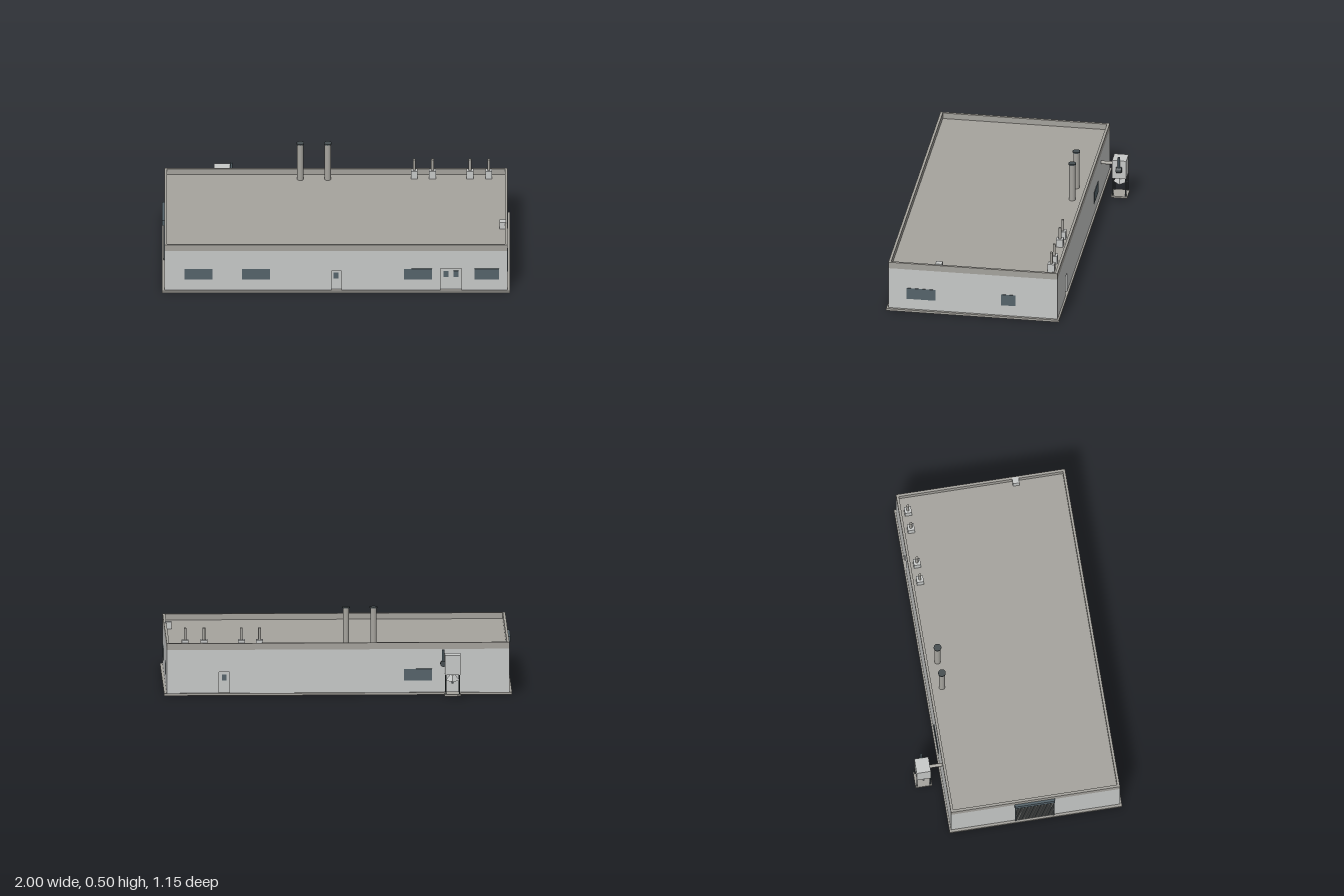
import * as THREE from 'three';

const mat = (name, color, side = THREE.FrontSide) => {
  const m = new THREE.MeshStandardMaterial({ color, side });
  m.name = name;
  return m;
};

export function createModel() {
  const root = new THREE.Group();
  root.name = 'factoryBuilding';
  const wallMat = mat('wallPaint', 0xc7c9c8);
  const roofMat = mat('roofGrey', 0xa5a39d);
  const glassMat = mat('darkGlass', 0x55636a);
  const darkMat = mat('darkMetal', 0x454d50);

  const add = (name, geo, m, x, y, z, parent = root) => {
    const mesh = new THREE.Mesh(geo, m);
    mesh.name = name;
    mesh.position.set(x, y, z);
    parent.add(mesh);
    return mesh;
  };
  // box given by its low and high corners
  const box = (name, m, x0, x1, y0, y1, z0, z1, parent) =>
    add(name, new THREE.BoxGeometry(x1 - x0, y1 - y0, z1 - z0), m,
      (x0 + x1) / 2, (y0 + y1) / 2, (z0 + z1) / 2, parent);
  const tube = (name, m, r, y0, y1, x, z, parent, n = 20) =>
    add(name, new THREE.CylinderGeometry(r, r, y1 - y0, n), m, x, (y0 + y1) / 2, z, parent);

  const X = 0.985, ZF = 0.567, ZB = -0.417, Y0 = 0.013, YW = 0.265, YT = 0.303;
  const T = 0.014; // wall thickness, also the depth of the door recesses

  // plinth and side walls
  box('plinth', roofMat, -1, 1, 0, Y0, ZB - 0.01, ZF + 0.01);
  for (const s of [-1, 1])
    box('sideWall', wallMat, s * X - (s > 0 ? T : 0), s * X + (s > 0 ? 0 : T), Y0, YW, ZB + T, ZF - T);

  // long walls with a notch for every door
  const longWall = (name, z, doors) => {
    const s = new THREE.Shape();
    s.moveTo(-X, Y0);
    for (const [a, b, h] of doors) {
      s.lineTo(a, Y0); s.lineTo(a, h); s.lineTo(b, h); s.lineTo(b, Y0);
    }
    s.lineTo(X, Y0); s.lineTo(X, YW); s.lineTo(-X, YW);
    add(name, new THREE.ExtrudeGeometry(s, { depth: T, bevelEnabled: false }), wallMat, 0, 0, z);
  };
  const frontDoors = [[-0.027, 0.03, 0.135], [0.6, 0.72, 0.15]];
  const backDoors = [[0.625, 0.685, 0.135]];
  longWall('frontWall', ZF - T, frontDoors);
  longWall('backWall', ZB, backDoors);

  // recessed door leaves and their small panes
  for (const [a, b, h] of frontDoors)
    box('frontDoor', wallMat, a - 0.005, b + 0.005, Y0, h + 0.005, ZF - T - 0.008, ZF - T);
  for (const [a, b, h] of backDoors)
    box('backDoor', wallMat, a - 0.005, b + 0.005, Y0, h + 0.005, ZB + T, ZB + T + 0.008);
  for (const [x, y0, y1] of [[0, 0.083, 0.12], [0.631, 0.09, 0.13], [0.689, 0.09, 0.13]])
    box('doorPane', glassMat, x - 0.014, x + 0.014, y0, y1, ZF - T, ZF - T + 0.003);
  box('doorPane', glassMat, 0.64, 0.668, 0.083, 0.12, ZB + T - 0.003, ZB + T);

  // windows
  for (const [a, b] of [[-0.87, -0.71], [-0.54, -0.38], [0.39, 0.55], [0.795, 0.935]])
    box('frontWindow', glassMat, a, b, 0.082, 0.15, ZF, ZF + 0.003);
  box('backWindow', glassMat, -0.54, -0.38, 0.082, 0.15, ZB - 0.003, ZB);
  for (const [a, b] of [[0.293, 0.46], [-0.174, -0.09]])
    box('sideWindow', glassMat, X, X + 0.003, 0.078, 0.146, a, b);

  // parapet ring and roof deck
  const ring = new THREE.Shape([[-X, -ZF], [X, -ZF], [X, -ZB], [-X, -ZB]].map(p => new THREE.Vector2(...p)));
  const p = 0.015;
  ring.holes.push(new THREE.Path([[-X + p, -ZF + p], [-X + p, -ZB - p], [X - p, -ZB - p], [X - p, -ZF + p]]
    .map(q => new THREE.Vector2(...q))));
  const ringGeo = new THREE.ExtrudeGeometry(ring, { depth: YT - YW, bevelEnabled: false });
  ringGeo.rotateX(-Math.PI / 2);
  add('parapet', ringGeo, roofMat, 0, YW, 0);
  box('roofDeck', roofMat, -X + T, X - T, YW - 0.01, YW + 0.003, ZB + T, ZF - T);

  // chimneys with dark caps
  for (const x of [-0.205, -0.047]) {
    tube('chimney', roofMat, 0.018, YW, 0.497, x, -0.343, root, 24);
    tube('chimneyCap', darkMat, 0.022, 0.494, 0.502, x, -0.343, root, 24);
  }

  // roof vents
  for (const x of [0.45, 0.555, 0.77, 0.878]) {
    box('ventBase', wallMat, x - 0.02, x + 0.02, YW, 0.315, -0.385, -0.345);
    tube('ventPipe', roofMat, 0.008, 0.315, 0.385, x, -0.365);
  }
  box('roofBox', wallMat, 0.94, 0.978, YW, 0.309, 0.257, 0.295);

  // roller shutter on the left end wall
  const shutter = new THREE.Group();
  shutter.name = 'rollerShutter';
  root.add(shutter);
  box('shutterPanel', roofMat, -X - 0.003, -X, Y0, 0.24, -0.04, 0.18, shutter);
  for (let i = 0; i < 14; i++) {
    const y = 0.022 + i * 0.0155;
    box('shutterSlat', darkMat, -X - 0.005, -X - 0.003, y, y + 0.004, -0.04, 0.18, shutter);
  }
  for (const z of [-0.045, 0.178])
    box('shutterRail', darkMat, -X - 0.007, -X, Y0, 0.24, z, z + 0.007, shutter);
  box('shutterHousing', glassMat, -1, -X, 0.238, 0.27, -0.047, 0.187, shutter);

  // dust collector behind the building
  const dust = new THREE.Group();
  dust.name = 'dustCollector';
  root.add(dust);
  const cx = -0.655, cz = -0.529;
  box('filterHousing', wallMat, cx - 0.045, cx + 0.045, 0.14, 0.254, cz - 0.041, cz + 0.041, dust);
  const hopper = new THREE.CylinderGeometry(0.01, 0.042, 0.04, 4).toNonIndexed();
  hopper.computeVertexNormals();
  add('hopper', hopper, wallMat, cx, 0.12, cz, dust);
  tube('hopperOutlet', darkMat, 0.006, 0.083, 0.1, cx, cz, dust);
  box('basePlate', roofMat, cx - 0.048, cx + 0.048, 0.017, 0.027, cz - 0.048, cz + 0.048, dust);
  for (const sx of [-1, 1]) for (const sz of [-1, 1])
    tube('supportLeg', darkMat, 0.0035, 0.027, 0.14, cx + sx * 0.039, cz + sz * 0.038, dust, 10);
  const duct = tube('inletDuct', roofMat, 0.01, 0, 0.08, cx, cz, dust);
  duct.rotation.x = Math.PI / 2;
  duct.position.set(cx, 0.215, -0.451);
  const fan = tube('fan', darkMat, 0.017, 0, 0.032, cx, cz, dust);
  fan.rotation.x = Math.PI / 2;
  fan.position.set(-0.601, 0.2, cz);
  tube('exhaustPipe', glassMat, 0.007, 0.2, 0.28, -0.601, cz, dust);

  return root;
}
